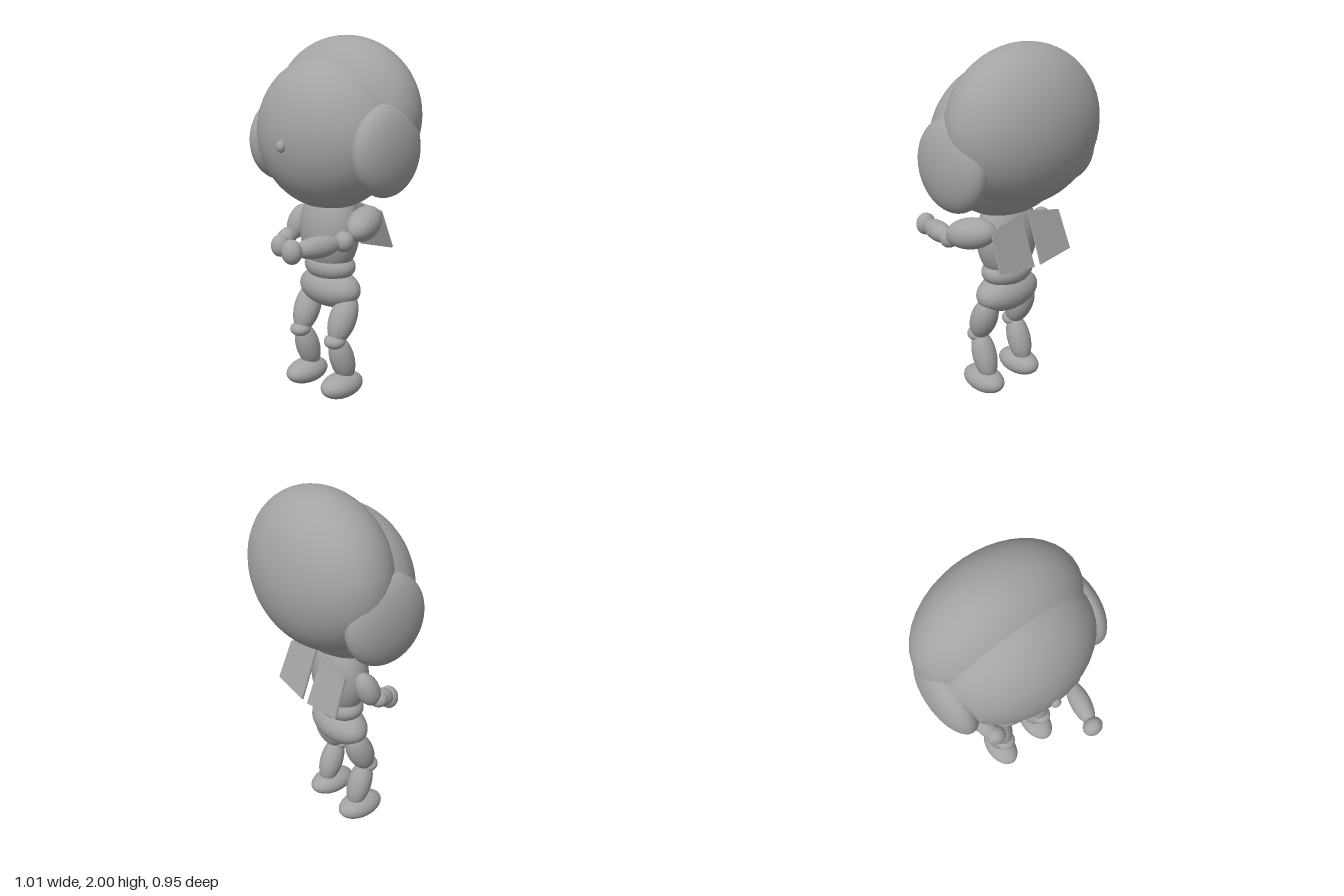
import * as THREE from 'three';

const grey = new THREE.MeshStandardMaterial({ color: 0xa2a4a2 });
grey.name = 'plain grey';

const unitSphere = new THREE.SphereGeometry(1, 40, 28);
const up = new THREE.Vector3(0, 1, 0);

// Ellipsoid from a centre and three radii
function blob(name, centre, radii) {
  const mesh = new THREE.Mesh(unitSphere, grey);
  mesh.name = name;
  mesh.position.set(...centre);
  mesh.scale.set(...radii);
  return mesh;
}

// Ellipsoid whose long axis runs from one end point to the other
function limb(name, from, to, radius) {
  const a = new THREE.Vector3(...from);
  const b = new THREE.Vector3(...to);
  const axis = b.clone().sub(a);
  const mid = a.add(b).multiplyScalar(0.5);
  const mesh = blob(name, mid.toArray(), [radius, axis.length() / 2, radius]);
  mesh.quaternion.setFromUnitVectors(up, axis.normalize());
  return mesh;
}

// Thin slanted wing plate on the back
function wing(name, side) {
  const corners = [[0.03, 0], [0.255, -0.047], [0.27, -0.275], [0.025, -0.3]];
  const shape = new THREE.Shape(corners.map(([x, y]) => new THREE.Vector2(side * x, y)));
  const geometry = new THREE.ExtrudeGeometry(shape, { depth: 0.012, bevelEnabled: false });
  const mesh = new THREE.Mesh(geometry, grey);
  mesh.name = name;
  mesh.position.set(0, 1.11, -0.17);
  mesh.rotation.x = 0.36;
  return mesh;
}

export function createModel() {
  const model = new THREE.Group();
  model.name = 'figure';

  // Head
  model.add(
    blob('face', [0, 1.485, -0.02], [0.44, 0.415, 0.335]),
    blob('hair', [0, 1.58, -0.16], [0.475, 0.42, 0.315]),
    blob('nose', [0, 1.437, 0.315], [0.027, 0.032, 0.023])
  );

  // Body
  model.add(
    blob('chest', [0, 0.945, -0.037], [0.19, 0.255, 0.142]),
    blob('waist', [0, 0.74, -0.04], [0.165, 0.09, 0.12]),
    blob('hips', [0, 0.612, -0.04], [0.21, 0.112, 0.125])
  );

  // Paired ears, legs and wings
  for (const [label, s] of [['left', 1], ['right', -1]]) {
    model.add(
      blob(label + 'Ear', [s * 0.4, 1.42, -0.053], [0.107, 0.243, 0.237]),
      limb(label + 'Thigh', [s * 0.15, 0.6, -0.06], [s * 0.138, 0.33, 0.06], 0.077),
      blob(label + 'Knee', [s * 0.14, 0.345, 0.06], [0.06, 0.042, 0.06]),
      limb(label + 'Shin', [s * 0.14, 0.37, 0.05], [s * 0.142, 0.09, -0.045], 0.07),
      blob(label + 'Foot', [s * 0.144, 0.072, 0.005], [0.09, 0.072, 0.143]),
      wing(label + 'Wing', s)
    );
  }

  // Left arm, reaching forward
  model.add(
    limb('leftUpperArm', [0.215, 1.05, -0.17], [0.315, 0.99, 0.1], 0.085),
    blob('leftElbow', [0.275, 0.952, 0.13], [0.055, 0.055, 0.052]),
    limb('leftForearm', [0.258, 0.942, 0.14], [0.205, 0.938, 0.41], 0.058),
    blob('leftHand', [0.2, 0.936, 0.425], [0.058, 0.064, 0.05])
  );

  // Right arm, hanging by the side
  model.add(
    limb('rightUpperArm', [-0.245, 1.045, -0.08], [-0.27, 0.85, 0.0], 0.064),
    blob('rightElbow', [-0.275, 0.875, 0.02], [0.053, 0.045, 0.05]),
    limb('rightForearm', [-0.28, 0.895, -0.01], [-0.24, 0.83, 0.13], 0.052),
    blob('rightHand', [-0.24, 0.832, 0.12], [0.056, 0.064, 0.052])
  );

  return model;
}
